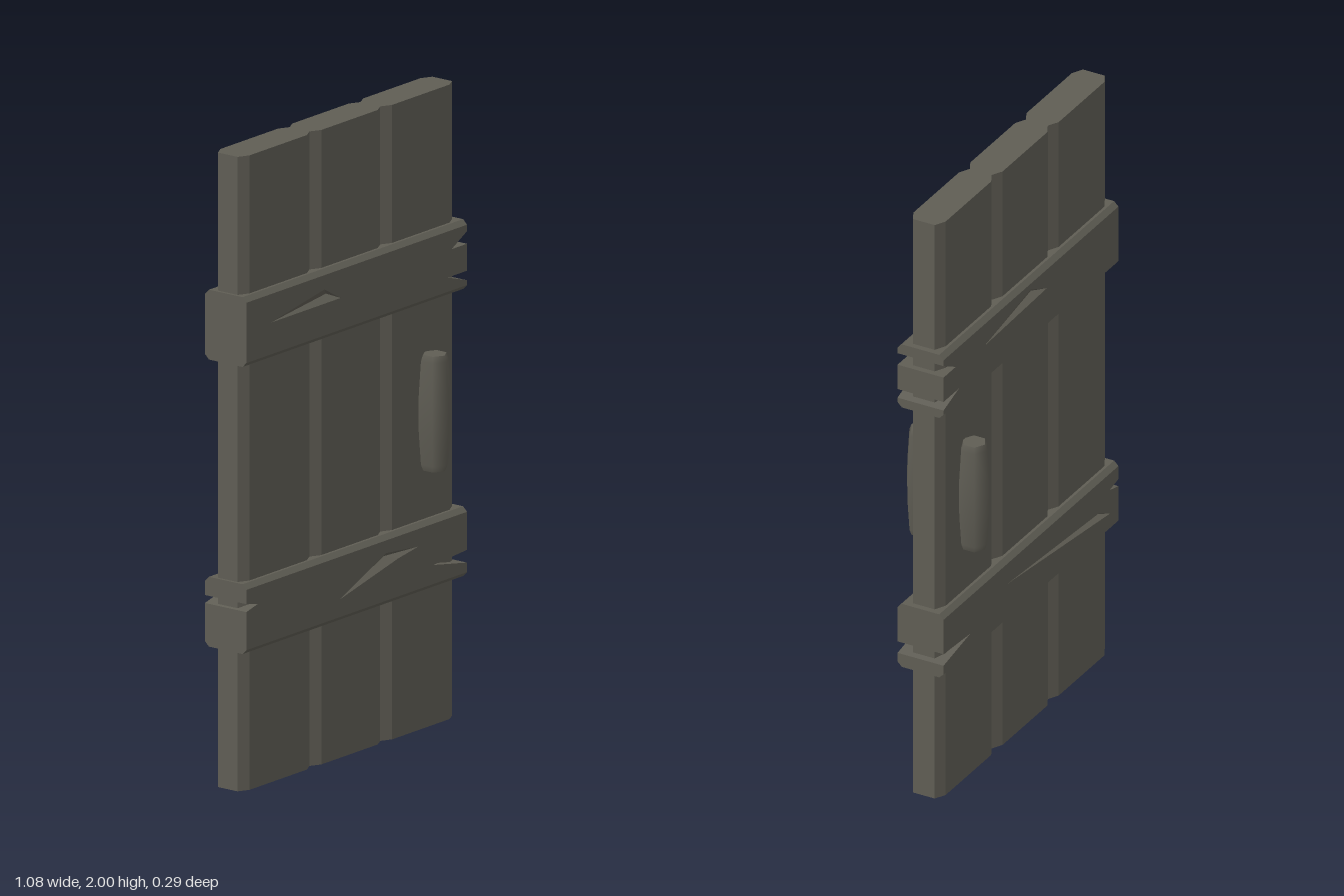
import * as THREE from 'three';

const wood = new THREE.MeshStandardMaterial({ color: 0x5f5d54, flatShading: true });
const smoothWood = new THREE.MeshStandardMaterial({ color: 0x5f5d54 });

const toShape = (points) => new THREE.Shape(points.map(([x, y]) => new THREE.Vector2(x, y)));

function addMesh(parent, name, geometry, material = wood) {
  const mesh = new THREE.Mesh(geometry, material);
  mesh.name = name;
  parent.add(mesh);
  return mesh;
}

// Three planks in one slab: chamfered ends and a V groove at each joint
function planksGeometry() {
  const face = 0.056, low = 0.038, bevel = 0.035;
  const edge = [[-0.53, low], [-0.495, face]];
  for (const x of [-0.18, 0.165]) edge.push([x - bevel, face], [x, low], [x + bevel, face]);
  edge.push([0.48, face], [0.515, low]);
  const outline = [...edge, ...edge.map(([x, z]) => [x, -z]).reverse()];
  const geometry = new THREE.ExtrudeGeometry(toShape(outline), { depth: 2, bevelEnabled: false });
  return geometry.rotateX(-Math.PI / 2);
}

// Front half of a batten: chamfered long edges, and a gouge sloping to one deep point
function battenHalf(outline, gouge, deep) {
  const shape = toShape(outline);
  shape.holes.push(new THREE.Path(gouge.map(([x, y]) => new THREE.Vector2(x, y))));
  const geometry = new THREE.ExtrudeGeometry(shape, { depth: 2, steps: 2, bevelEnabled: false });
  const ys = outline.map((p) => p[1]);
  const bottom = Math.min(...ys) + 0.015, top = Math.max(...ys) - 0.015;
  const pos = geometry.attributes.position;
  for (let i = 0; i < pos.count; i++) {
    let x = pos.getX(i), y = pos.getY(i);
    const layer = Math.round(pos.getZ(i));
    const inGouge = gouge.some(([gx, gy]) => Math.hypot(gx - x, gy - y) < 1e-4);
    let z = [0, 0.065, 0.08][layer];
    if (inGouge && layer < 2) {
      [x, y] = deep;
      if (layer === 1) z = 0.058;
    } else if (layer === 2) {
      y = Math.min(top, Math.max(bottom, y));
    }
    pos.setXYZ(i, x, y, z);
  }
  geometry.computeVertexNormals();
  return geometry;
}

// Whole batten: the back half is turned round, its gouge given as seen from behind
function batten(name, outline, front, back) {
  const group = new THREE.Group();
  group.name = name;
  addMesh(group, name + 'Front', battenHalf(outline, front.gouge, front.deep));
  const mirrored = outline.map(([x, y]) => [-x, y]);
  addMesh(group, name + 'Back', battenHalf(mirrored, back.gouge, back.deep)).rotation.y = Math.PI;
  return group;
}

// Six-sided handle, slightly swollen in the middle
function handleGeometry() {
  const profile = [
    [0, 0.82], [0.038, 0.82], [0.038, 0.82], [0.045, 0.84], [0.052, 0.94],
    [0.053, 1], [0.052, 1.06], [0.045, 1.165], [0.038, 1.185], [0.038, 1.185], [0, 1.185],
  ];
  return new THREE.LatheGeometry(profile.map(([r, y]) => new THREE.Vector2(r, y)), 6);
}

export function createModel() {
  const door = new THREE.Group();
  door.name = 'door';
  addMesh(door, 'planks', planksGeometry());

  // Upper batten, split twice at its left end
  door.add(batten('upperBatten',
    [[-0.54, 1.345], [0.535, 1.345], [0.535, 1.375], [0.44, 1.405], [0.535, 1.405],
      [0.535, 1.49], [0.46, 1.49], [0.535, 1.53], [0.535, 1.565], [-0.54, 1.565]],
    { gouge: [[-0.425, 1.46], [-0.08, 1.46], [-0.16, 1.505]], deep: [-0.125, 1.48] },
    { gouge: [[-0.285, 1.475], [0.1, 1.485], [0, 1.53]], deep: [0.04, 1.5] }));

  // Lower batten, split at both ends
  door.add(batten('lowerBatten',
    [[-0.54, 0.44], [0.535, 0.44], [0.535, 0.485], [0.37, 0.515], [0.535, 0.525],
      [0.535, 0.66], [-0.54, 0.66], [-0.54, 0.6], [-0.485, 0.588], [-0.54, 0.575]],
    { gouge: [[-0.087, 0.51], [0.2, 0.575], [0.3, 0.59], [0.14, 0.605]], deep: [0.155, 0.588] },
    { gouge: [[-0.145, 0.575], [0.49, 0.505], [0.42, 0.54]], deep: [0.43, 0.525] }));

  // A handle on each face
  for (const [name, z] of [['frontHandle', 0.09], ['backHandle', -0.09]]) {
    addMesh(door, name, handleGeometry(), smoothWood).position.set(0.365, 0, z);
  }
  return door;
}
